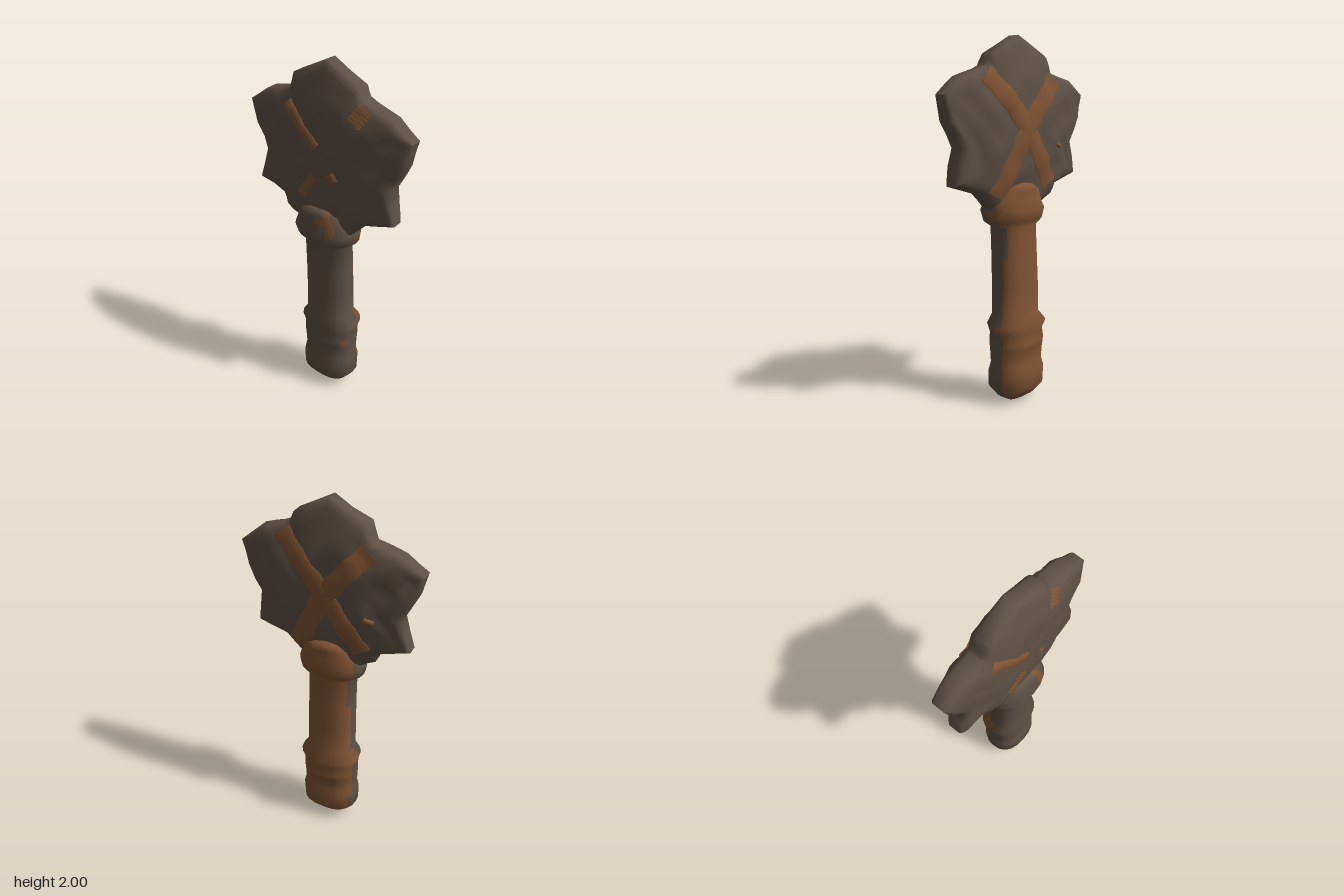
import * as THREE from 'three';
import { toCreasedNormals } from 'three/addons/utils/BufferGeometryUtils.js';

const stone = new THREE.MeshStandardMaterial({ color: 0x5f5146 });
stone.name = 'dark stone';
const leather = new THREE.MeshStandardMaterial({ color: 0x805434, side: THREE.DoubleSide });
leather.name = 'brown leather';

// Head outline as [z, y], running from the tip down the back and up the front
const CENTRE_Y = 1.5;
const outline = [
  [0, 2], [-0.2, 1.9], [-0.235, 1.81], [-0.39, 1.77], [-0.5, 1.69], [-0.47, 1.57], [-0.4, 1.43],
  [-0.45, 1.25], [-0.28, 1.2], [-0.26, 1.14], [-0.17, 1.09], [0.17, 1.09], [0.26, 1.18],
  [0.43, 1.23], [0.4, 1.42], [0.47, 1.56], [0.5, 1.69], [0.39, 1.78], [0.27, 1.82],
  [0.22, 1.84], [0.19, 1.9],
].map(([z, y]) => [z, y - CENTRE_Y]);

// Half thickness of the head, from its middle (s = 0) to its rim (s = 1)
const profile = [[0, 0.108], [0.5, 0.1], [0.65, 0.09], [0.8, 0.077], [0.92, 0.062], [0.97, 0.05], [1, 0.033]];

function halfThickness(s) {
  for (let i = 1; i < profile.length; i++) {
    const [s0, h0] = profile[i - 1], [s1, h1] = profile[i];
    if (s <= s1) return h0 + (h1 - h0) * (s - s0) / (s1 - s0);
  }
  return 0.033;
}

// Chipped stone surface: x at a point of the head, thinning to the tip and the side lobes
function surfaceX(z, v, s, side) {
  const taper = Math.min(0.09 - (v - 0.3) * 0.25, 0.112 - (Math.abs(z) - 0.15) * 0.2);
  const chips = 0.007 * Math.sin(23 * z + 9 * v + side) * Math.cos(19 * v - 7 * z)
    + 0.004 * Math.sin(41 * z - 33 * v + 2 * side);
  const dent = 0.014 * Math.exp(-(((Math.abs(z) - 0.3) / 0.06) ** 2) - ((v + 0.17) / 0.06) ** 2);
  const lean = -0.025 * z + 0.04 * Math.min(0, v);
  return lean + side * (Math.min(halfThickness(s), taper) - dent + chips * Math.min(1, s * 1.6));
}

// How far a point lies between the head's middle and its rim
function rimFraction(z, v) {
  for (let i = 0; i < outline.length; i++) {
    const p = outline[i], q = outline[(i + 1) % outline.length];
    const det = p[0] * q[1] - p[1] * q[0];
    const a = (z * q[1] - v * q[0]) / det, b = (p[0] * v - p[1] * z) / det;
    if (a >= -1e-9 && b >= -1e-9) return a + b;
  }
  return 0;
}

// Surface through a grid of points; pick(row, column) gives the material index
function gridGeometry(rows, closed, pick = () => 0) {
  const n = rows[0].length, lists = [[], []];
  for (let r = 0; r < rows.length - 1; r++) {
    for (let c = 0; c < (closed ? n : n - 1); c++) {
      const d = (c + 1) % n;
      const a = r * n + c, b = r * n + d, e = (r + 1) * n + d, f = (r + 1) * n + c;
      lists[pick(r, c)].push(a, b, e, a, e, f);
    }
  }
  const geo = new THREE.BufferGeometry();
  geo.setAttribute('position', new THREE.Float32BufferAttribute(rows.flat(2), 3));
  geo.setIndex(lists.flat());
  geo.addGroup(0, lists[0].length, 0);
  geo.addGroup(lists[0].length, lists[1].length, 1);
  geo.computeVertexNormals();
  return geo;
}

function makeHead() {
  const rim = [];
  outline.forEach((p, i) => {
    const q = outline[(i + 1) % outline.length];
    for (const t of [0, 0.5]) rim.push([p[0] + (q[0] - p[0]) * t, p[1] + (q[1] - p[1]) * t]);
  });
  const ring = (s, side) => rim.map(([z, v]) => [surfaceX(z * s, v * s, s, side), CENTRE_Y + v * s, z * s]);
  const steps = [0, 0.15, 0.3, 0.42, 0.54, 0.65, 0.74, 0.83, 0.92, 0.97, 1];
  const rows = [...steps.map((s) => ring(s, 1)), ...steps.slice().reverse().map((s) => ring(s, -1))];
  const geo = gridGeometry(rows, true);
  geo.clearGroups();
  return new THREE.Mesh(toCreasedNormals(geo, 0.95), stone);
}

// Strap lying on one face of the head along [z, y] points
function makeStrap(side, points, width) {
  const path = new THREE.SplineCurve(points.map(([z, y]) => new THREE.Vector2(z, y - CENTRE_Y)));
  const rows = [], steps = 18;
  for (let i = 0; i <= steps; i++) {
    const p = path.getPoint(i / steps), dir = path.getTangent(i / steps);
    const w = width * (1 + 0.1 * Math.sin(i * 1.9));
    const row = [[-0.5, -0.004], [-0.44, 0.007], [0, 0.008], [0.44, 0.007], [0.5, -0.004]].map(([k, lift]) => {
      const z = p.x - dir.y * k * w, v = p.y + dir.x * k * w;
      return [surfaceX(z, v, rimFraction(z, v), side) + side * lift, v + CENTRE_Y, z];
    });
    rows.push(side < 0 ? row.reverse() : row);
  }
  const geo = gridGeometry(rows, false);
  geo.clearGroups();
  return new THREE.Mesh(geo, leather);
}

// Handle with pommel, grip bands and collar: [y, x centre, x radius, z radius]
function makeHandle() {
  const sections = [
    [0, 0.01, 0.001, 0.001], [0.003, 0.01, 0.03, 0.06], [0.035, 0.01, 0.08, 0.115],
    [0.09, 0.012, 0.125, 0.162], [0.18, 0.015, 0.125, 0.165], [0.225, 0.015, 0.11, 0.155],
    [0.28, 0.015, 0.113, 0.157], [0.32, 0.016, 0.121, 0.158], [0.35, 0.017, 0.127, 0.158],
    [0.4, 0.015, 0.113, 0.16], [0.45, 0.017, 0.135, 0.173], [0.5, 0.007, 0.107, 0.137],
    [0.66, 0.006, 0.104, 0.136], [0.82, 0, 0.102, 0.134], [0.99, -0.008, 0.1, 0.134],
    [1.02, -0.012, 0.118, 0.18], [1.08, -0.014, 0.145, 0.186], [1.13, -0.012, 0.115, 0.172],
    [1.185, -0.014, 0.132, 0.145], [1.215, -0.008, 0.106, 0.1], [1.23, 0, 0.06, 0.04],
  ];
  const n = 20;
  const soft = (v) => Math.sign(v) * Math.abs(v) ** 0.85;
  const rows = sections.map(([y, cx, rx, rz]) => Array.from({ length: n }, (_, c) => {
    const a = -c / n * Math.PI * 2;
    return [cx + soft(Math.cos(a)) * rx, y, soft(Math.sin(a)) * rz - 0.005];
  }));
  // Leather wraps the left half, by this many columns per row to the front and to the back
  const frontReach = [2, 3, 4, 4, 4, 4, 4, 4, 4, 5, 4, 4, 4, 3, 4, 5, 4, 4, 4, 4];
  const backReach = [1, 2, 2, 3, 4, 4, 4, 4, 4, 5, 5, 4, 4, 3, 3, 3, 3, 4, 4, 4];
  // A few scraps remain on the other side
  const scraps = ['7,13', '6,7', '16,11', '17,10', '17,11', '18,11'];
  const pick = (r, c) => {
    const covered = c < n / 2 ? c < backReach[r] : n - 1 - c < frontReach[r];
    return covered || scraps.includes(`${r},${c}`) ? 1 : 0;
  };
  return new THREE.Mesh(gridGeometry(rows, true, pick), [stone, leather]);
}

export function createModel() {
  const group = new THREE.Group();
  group.name = 'stone club';
  const add = (name, mesh) => {
    mesh.name = name;
    group.add(mesh);
  };
  add('handle', makeHandle());
  add('stoneHead', makeHead());

  // Crossed straps on the left face
  add('strapFrontToBack', makeStrap(1, [[0.25, 1.8], [0.01, 1.53], [-0.2, 1.21]], 0.11));
  add('strapBackToFront', makeStrap(1, [[-0.225, 1.775], [-0.01, 1.52], [0.175, 1.16]], 0.11));
  add('strapScrap', makeStrap(1, [[-0.22, 1.43], [-0.27, 1.41]], 0.025));

  // Worn remains of the straps on the right face
  add('wornStrapTop', makeStrap(-1, [[0.25, 1.81], [0.2, 1.74]], 0.08));
  add('wornStrapMiddle', makeStrap(-1, [[-0.22, 1.75], [-0.02, 1.56]], 0.06));
  add('wornStrapSpot', makeStrap(-1, [[0.07, 1.44], [0.1, 1.4]], 0.05));
  add('wornStrapLower', makeStrap(-1, [[-0.03, 1.4], [-0.12, 1.27]], 0.05));
  return group;
}
